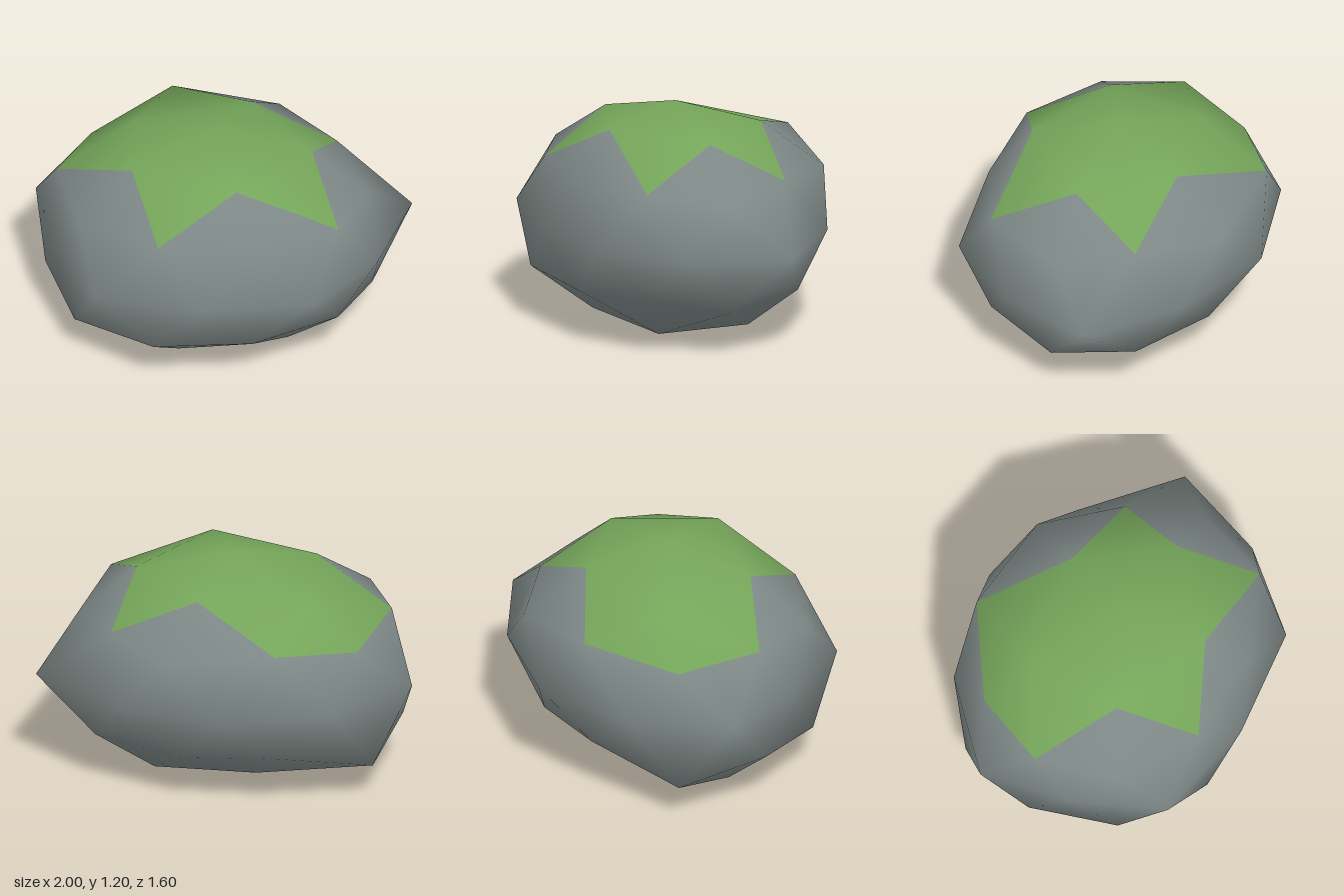
import * as THREE from 'three';

// Cross-sections of the boulder from top to bottom, each going round from +x towards +z
const top = [[-0.03, 1.2, 0.04]];
const crown = [[0.49, 1.09, 0.04], [0.12, 1.12, 0.47], [-0.45, 1.09, 0.28], [-0.47, 1.03, -0.25], [0.13, 1.09, -0.38]];
const shoulder = [
  [0.79, 0.83, 0.03], [0.66, 0.9, 0.46], [0.24, 0.86, 0.67], [-0.28, 0.89, 0.69], [-0.72, 0.87, 0.46],
  [-0.87, 0.9, 0.04], [-0.72, 0.83, -0.38], [-0.31, 0.93, -0.7], [0.26, 0.85, -0.69], [0.59, 0.88, -0.35],
];
const belly = [
  [0.86, 0.28], [0.55, 0.7], [-0.03, 0.8], [-0.62, 0.72], [-0.86, 0.27],
  [-1, -0.22], [-0.62, -0.64], [-0.03, -0.8], [0.53, -0.61], [1, -0.24],
].map(([x, z]) => [x, 0.57, z]);
const flank = [
  [0.81, 0.25, 0.04], [0.66, 0.32, 0.46], [0.22, 0.28, 0.68], [-0.3, 0.29, 0.76], [-0.74, 0.24, 0.48],
  [-0.93, 0.29, 0.04], [-0.81, 0.2, -0.44], [-0.29, 0.31, -0.64], [0.2, 0.28, -0.6], [0.67, 0.3, -0.39],
];
const base = [[0.38, 0.045, 0.29], [-0.19, 0.055, 0.45], [-0.59, 0.01, 0.04], [-0.18, 0.085, -0.34], [0.37, 0.045, -0.22]];
const bottom = [[-0.03, 0, 0.04]];

export function createModel() {
  const stone = new THREE.MeshStandardMaterial({ color: 0x7d8886 });
  stone.name = 'stone grey';
  const moss = new THREE.MeshStandardMaterial({ color: 0x75a55a });
  moss.name = 'moss green';

  // Index lookup that wraps round each cross-section
  const points = [];
  const ring = (section) => {
    const start = points.length;
    points.push(...section);
    return (i) => start + ((i + section.length) % section.length);
  };
  const [A, M, S, E, W, B, Z] = [top, crown, shoulder, belly, flank, base, bottom].map(ring);

  const mossFaces = [];
  const stoneFaces = [];

  for (let k = 0; k < 5; k++) {
    // Star-shaped moss cap, with one gap between its points filled
    mossFaces.push(A(0), M(k + 1), M(k));
    mossFaces.push(M(k), M(k + 1), S(2 * k + 1));
    const gap = k === 3 ? mossFaces : stoneFaces;
    gap.push(M(k), S(2 * k + 1), S(2 * k));
    gap.push(M(k), S(2 * k), S(2 * k - 1));
    // Underside
    stoneFaces.push(B(k), W(2 * k), W(2 * k + 1));
    stoneFaces.push(B(k), W(2 * k + 1), W(2 * k + 2));
    stoneFaces.push(W(2 * k + 2), B(k + 1), B(k));
    stoneFaces.push(B(k), B(k + 1), Z(0));
  }
  // Sides
  for (let j = 0; j < 10; j++) {
    stoneFaces.push(S(j), S(j + 1), E(j));
    stoneFaces.push(S(j), E(j), E(j - 1));
    stoneFaces.push(E(j - 1), E(j), W(j));
    stoneFaces.push(E(j), W(j + 1), W(j));
  }

  // One smooth surface with two colour groups
  const geometry = new THREE.BufferGeometry();
  geometry.setAttribute('position', new THREE.Float32BufferAttribute(points.flat(), 3));
  geometry.setIndex([...stoneFaces, ...mossFaces]);
  geometry.addGroup(0, stoneFaces.length, 0);
  geometry.addGroup(stoneFaces.length, mossFaces.length, 1);
  geometry.computeVertexNormals();

  const boulder = new THREE.Mesh(geometry, [stone, moss]);
  boulder.name = 'mossyBoulder';

  const group = new THREE.Group();
  group.name = 'rock';
  group.add(boulder);
  return group;
}
